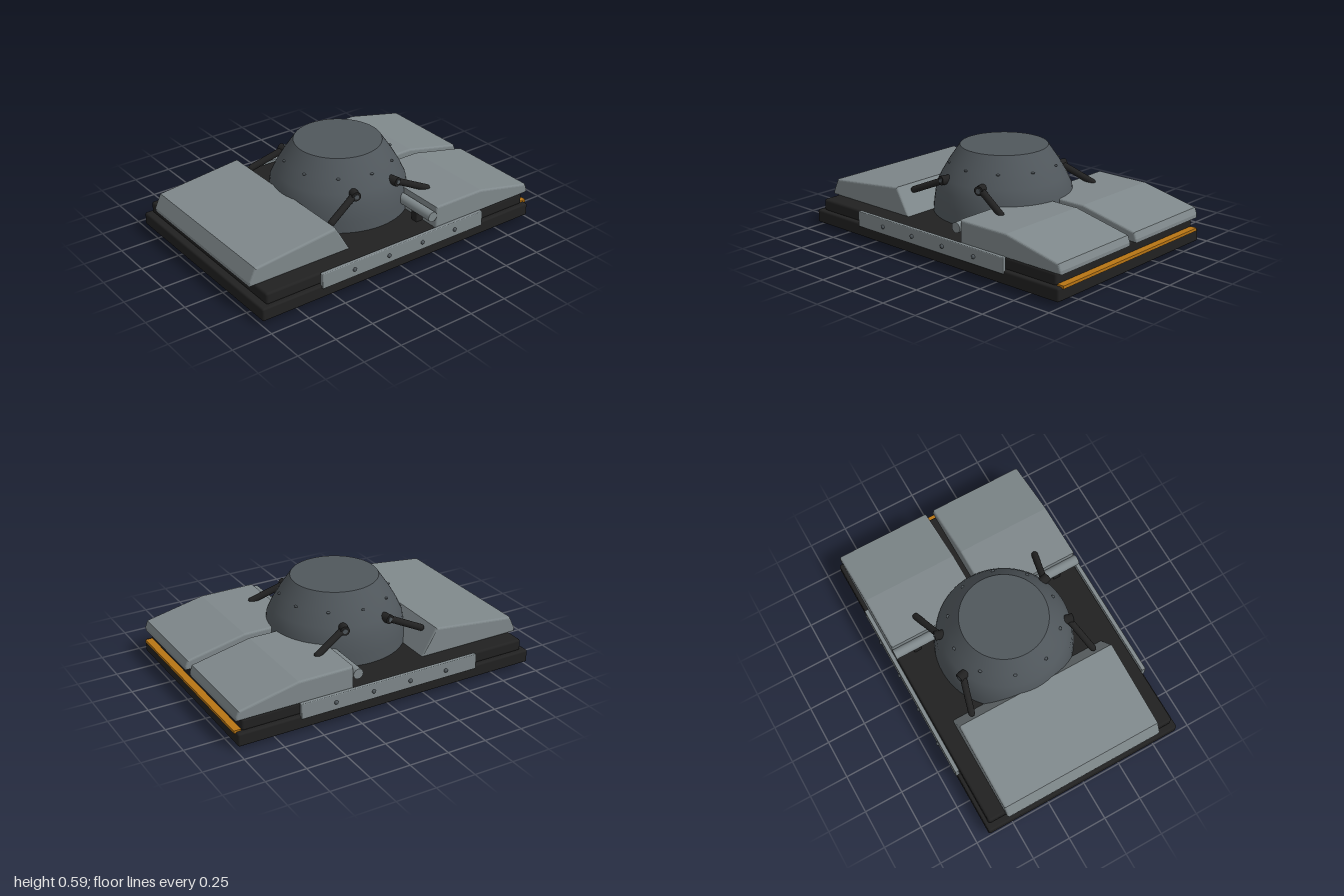
import * as THREE from 'three';
import { RoundedBoxGeometry } from 'three/addons/geometries/RoundedBoxGeometry.js';

const paint = (name, color) => {
  const m = new THREE.MeshStandardMaterial({ color });
  m.name = name;
  return m;
};

export function createModel() {
  const group = new THREE.Group();
  const plateGrey = paint('plate grey', 0x7f888b);
  const domeGrey = paint('dome grey', 0x50575c);
  const black = paint('black', 0x212121);
  const amber = paint('amber', 0xb87514);

  const add = (name, geometry, material, x = 0, y = 0, z = 0) => {
    const mesh = new THREE.Mesh(geometry, material);
    mesh.name = name;
    mesh.position.set(x, y, z);
    group.add(mesh);
    return mesh;
  };
  const box = (name, w, h, d, r, material, x, y, z) =>
    add(name, new RoundedBoxGeometry(w, h, d, 2, r), material, x, y, z);

  // Rod between two points
  const rod = (name, a, b, geometry, material) => {
    const mesh = add(name, geometry, material);
    mesh.position.copy(a).add(b).multiplyScalar(0.5);
    mesh.quaternion.setFromUnitVectors(new THREE.Vector3(0, 1, 0), b.clone().sub(a).normalize());
    return mesh;
  };

  // Side profile given as [z, y] points, extruded across x with a small bevel
  const hood = (name, points, width, x) => {
    const bevel = 0.012;
    const geometry = new THREE.ExtrudeGeometry(
      new THREE.Shape(points.map(([z, y]) => new THREE.Vector2(z, y))),
      { depth: width - 2 * bevel, bevelThickness: bevel, bevelSize: bevel, bevelOffset: -bevel, bevelSegments: 3 });
    geometry.translate(0, 0, -width / 2 + bevel).rotateY(-Math.PI / 2);
    add(name, geometry, plateGrey, x);
  };

  // Stepped hull
  box('lowerHull', 1.325, 0.082, 1.985, 0.012, black, 0, 0.065, 0.003);
  box('upperHull', 1.28, 0.075, 1.91, 0.015, black, 0, 0.142, 0);

  // Ground pads in two columns
  for (const side of [-1, 1]) {
    for (let i = -4; i <= 4; i++) {
      box('groundPad', 0.53, 0.035, 0.098, 0.006, black, side * 0.3, 0.0175, i * 0.2225);
    }
  }

  // Sloping hoods
  hood('frontHood', [[0.303, 0.178], [0.99, 0.178], [0.99, 0.2], [0.95, 0.285], [0.4, 0.347]], 1.06, 0);
  for (const side of [-1, 1]) {
    hood('rearHood', [[-0.99, 0.178], [-0.247, 0.178], [-0.247, 0.32], [-0.6, 0.32],
      [-0.975, 0.24], [-0.99, 0.2]], 0.622, side * 0.336);
  }

  // Cross bar and its brackets
  const bar = add('crossBar', new THREE.CylinderGeometry(0.032, 0.032, 1.3, 24), plateGrey, 0, 0.266, -0.217);
  bar.rotation.z = Math.PI / 2;
  for (const side of [-1, 1]) box('barBracket', 0.05, 0.07, 0.05, 0.006, black, side * 0.5, 0.21, -0.223);

  // Turret dome, with a doubled top rim for a sharp edge
  const wall = [[0.436, 0.175], [0.43, 0.25], [0.416, 0.345], [0.385, 0.41], [0.338, 0.49], [0.27, 0.59]];
  add('dome', new THREE.LatheGeometry(wall.map(p => new THREE.Vector2(...p)), 64), domeGrey);
  const lid = add('domeTop', new THREE.CircleGeometry(0.27, 64), domeGrey, 0, 0.59, 0);
  lid.rotation.x = -Math.PI / 2;

  // Ring of dome rivets
  for (let i = 0; i < 10; i++) {
    const a = i * Math.PI / 5;
    const rivet = add('domeRivet', new THREE.SphereGeometry(0.012, 10, 8), domeGrey,
      0.339 * Math.cos(a), 0.49, 0.339 * Math.sin(a));
    rivet.scale.y = 0.5;
  }

  // Four drooping guns on pivots
  for (const sx of [-1, 1]) {
    for (const sz of [-1, 1]) {
      const at = (x, y, z) => new THREE.Vector3(sx * x, y, sz * z);
      const from = at(0.37, 0.405, 0.16), to = at(0.425, 0.315, 0.365);
      rod('gunBarrel', from, to, new THREE.CapsuleGeometry(0.021, from.distanceTo(to) - 0.02, 6, 14), black);
      rod('gunPivot', at(0.34, 0.41, 0.14), at(0.395, 0.41, 0.155),
        new THREE.CylinderGeometry(0.029, 0.029, 0.057, 18), black);
      rod('gunPivotBolt', at(0.392, 0.41, 0.154), at(0.4, 0.41, 0.156),
        new THREE.CylinderGeometry(0.015, 0.015, 0.008, 14), domeGrey);
    }
  }

  // Riveted side plates
  for (const side of [-1, 1]) {
    box('sidePlate', 0.027, 0.098, 1.195, 0.005, plateGrey, side * 0.658, 0.137, 0);
    for (const z of [-0.375, -0.125, 0.125, 0.375]) {
      const rivet = add('plateRivet', new THREE.SphereGeometry(0.013, 12, 8), domeGrey, side * 0.673, 0.137, z);
      rivet.scale.x = 0.9;
    }
  }

  // Rear light strip
  add('rearLightStrip', new THREE.BoxGeometry(1.26, 0.018, 0.045), amber, 0, 0.107, -0.9775);

  return group;
}
